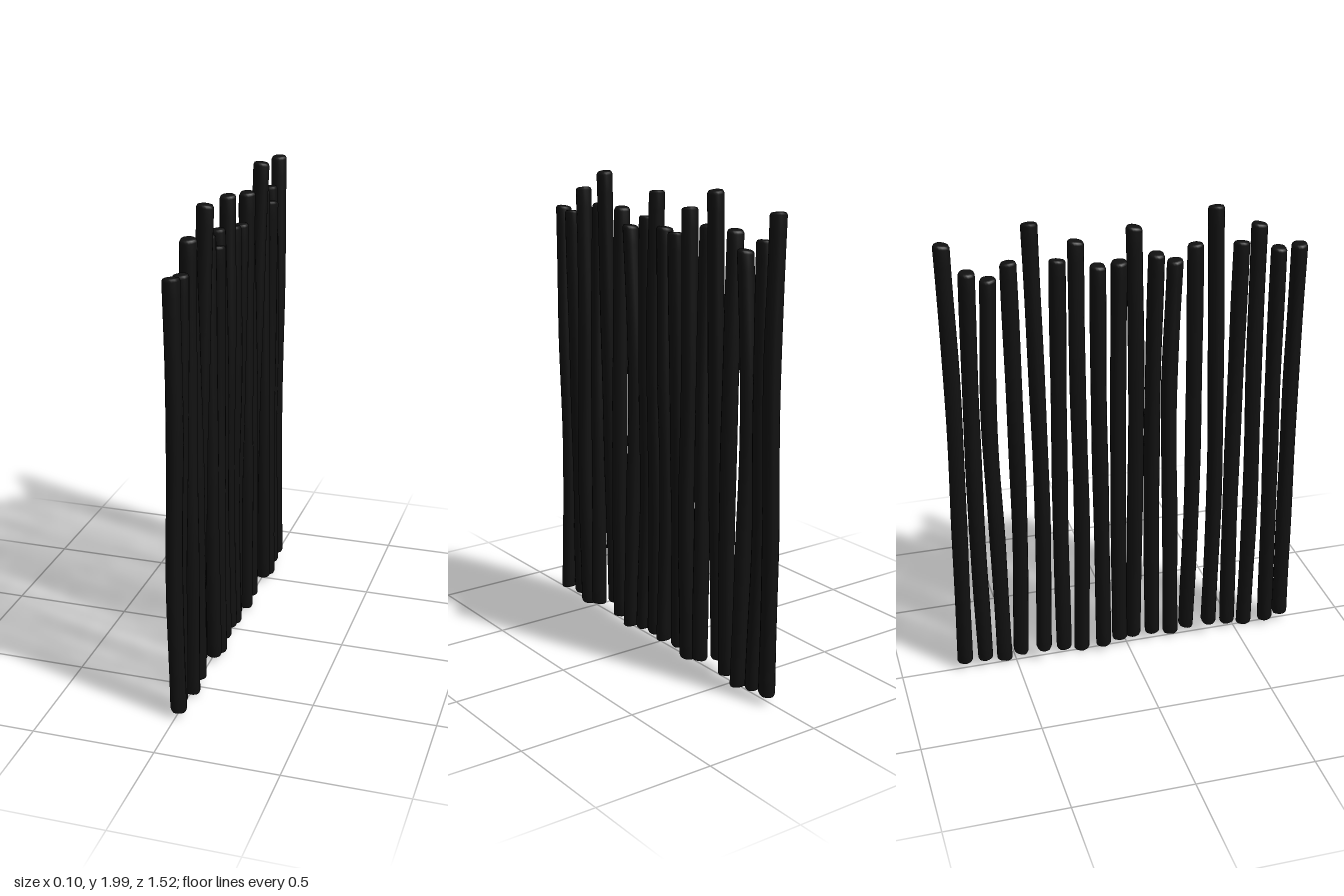
import * as THREE from 'three';
import { mergeVertices } from 'three/addons/utils/BufferGeometryUtils.js';

const R = 0.033;

// Each stick: bottom y, top y, then centre x and centre z at bottom, lower, upper and top
const STICKS = [
  { y: [0.03, 1.815], x: [0.006, -0.006, 0.004, 0.0], z: [0.724, 0.718, 0.721, 0.726] },
  { y: [0.025, 1.805], x: [-0.016, -0.012, 0.0, 0.008], z: [0.646, 0.643, 0.64, 0.642] },
  { y: [0.01, 1.915], x: [0.006, 0.01, 0.004, 0.008], z: [0.553, 0.562, 0.552, 0.553] },
  { y: [0.03, 1.855], x: [0.006, 0.002, -0.004, -0.02], z: [0.472, 0.466, 0.469, 0.472] },
  { y: [0.06, 2.0], x: [-0.02, -0.015, 0.0, 0.018], z: [0.376, 0.388, 0.383, 0.374] },
  { y: [0.035, 1.86], x: [0.014, 0.008, 0.002, -0.006], z: [0.281, 0.294, 0.29, 0.281] },
  { y: [0.015, 1.795], x: [0.012, 0.004, 0.0, 0.008], z: [0.206, 0.195, 0.182, 0.203] },
  { y: [0.035, 1.84], x: [0.006, -0.008, -0.006, -0.018], z: [0.12, 0.109, 0.112, 0.119] },
  { y: [0.04, 1.955], x: [0.004, -0.004, 0.002, -0.003], z: [0.032, 0.037, 0.043, 0.03] },
];

// A rounded-end rod, bent along its centre line with an uneven bark surface
function stickGeometry({ y: [y0, y1], x, z }, seed) {
  const h = y1 - y0;
  const profile = [[0, 0], [0.6 * R, 0.001], [0.88 * R, 0.004], [R, 0.013]];
  for (let i = 1; i < 28; i++) profile.push([R, 0.013 + (h - 0.026) * i / 28]);
  profile.push([R, h - 0.013], [0.88 * R, h - 0.004], [0.6 * R, h - 0.001], [0, h]);
  let g = new THREE.LatheGeometry(profile.map(([r, y]) => new THREE.Vector2(r, y)), 16);
  g.deleteAttribute('uv');
  g.deleteAttribute('normal');
  g = mergeVertices(g, 1e-5);

  const path = new THREE.CatmullRomCurve3(
    x.map((px, i) => new THREE.Vector3(px, y0 + h * i / 3, z[i])));
  const p = g.attributes.position;
  const c = new THREE.Vector3();
  for (let i = 0; i < p.count; i++) {
    const px = p.getX(i), py = p.getY(i), pz = p.getZ(i);
    const a = Math.atan2(pz, px), t = py / h;
    const bark = 1 + 0.035 * Math.sin(3 * a + seed * 2 + t * 2)
      + 0.025 * Math.sin(5 * a - seed + t * 5) + 0.02 * Math.sin(t * 17 + seed * 3);
    path.getPoint(t, c);
    // Slanted cut at both ends
    const slant = (2 * t - 1) * 0.12 * (px * Math.sin(seed) + pz * Math.cos(seed));
    p.setXYZ(i, c.x + px * bark, y0 + py + slant, c.z + pz * bark);
  }
  g.computeVertexNormals();
  return g;
}

export function createModel() {
  const group = new THREE.Group();
  group.name = 'stickFence';
  const material = new THREE.MeshStandardMaterial({ color: 0x111111 });
  const geometries = STICKS.map((s, i) => stickGeometry(s, i + 1));

  // The same run of nine sticks, placed twice along z
  [0, -0.755].forEach((offset, k) => {
    const panel = new THREE.Group();
    panel.name = k === 0 ? 'frontPanel' : 'backPanel';
    panel.position.z = offset;
    geometries.forEach((g, i) => {
      const stick = new THREE.Mesh(g, material);
      stick.name = `stick${i + 1}`;
      panel.add(stick);
    });
    group.add(panel);
  });
  return group;
}
